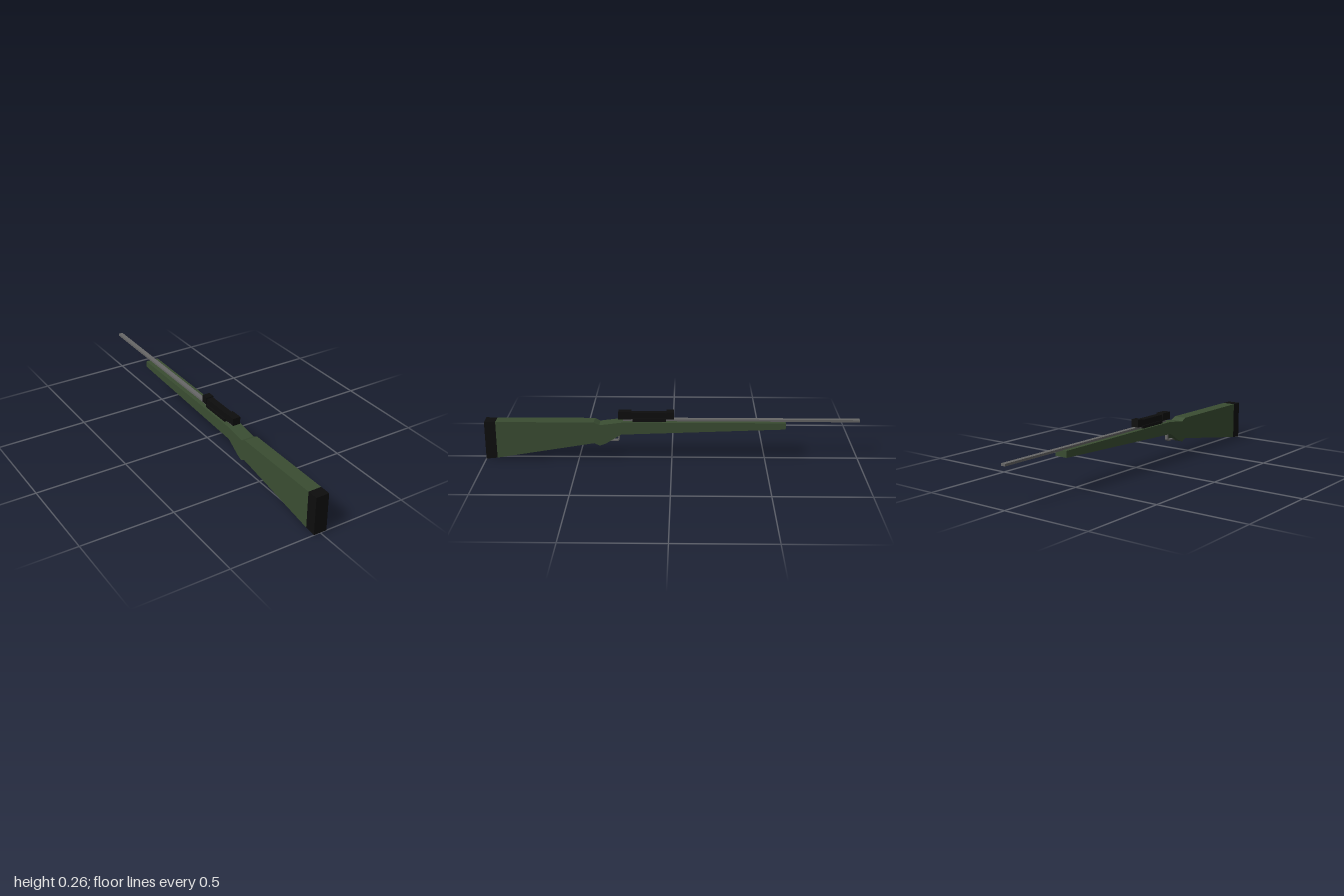
import * as THREE from 'three';

const material = (color) => new THREE.MeshStandardMaterial({ color, flatShading: true });

export function createModel() {
  const model = new THREE.Group();
  model.name = 'rifle';
  const green = material(0x3a4d32);
  const black = material(0x0d0d0d);
  const steel = material(0x666666);

  // Side profile of [z, y] points, extruded across x and centred
  function profile(name, points, width, mat) {
    const shape = new THREE.Shape(points.map(([z, y]) => new THREE.Vector2(-z, y)));
    const geometry = new THREE.ExtrudeGeometry(shape, { depth: width, bevelEnabled: false });
    geometry.translate(0, 0, -width / 2).rotateY(Math.PI / 2);
    const mesh = new THREE.Mesh(geometry, mat);
    mesh.name = name;
    model.add(mesh);
  }

  // Box given by its width and its y and z ranges
  function block(name, width, y0, y1, z0, z1, mat) {
    const mesh = new THREE.Mesh(new THREE.BoxGeometry(width, y1 - y0, z1 - z0), mat);
    mesh.position.set(0, (y0 + y1) / 2, (z0 + z1) / 2);
    mesh.name = name;
    model.add(mesh);
  }

  // Stock with butt, grip and tapering fore-end
  profile('stock', [
    [0.94, 0.006], [0.415, 0.093], [0.385, 0.079], [0.355, 0.09], [0.27, 0.143],
    [-0.605, 0.177], [-0.605, 0.212], [0.26, 0.212], [0.385, 0.196], [0.415, 0.211], [0.94, 0.211],
  ], 0.073, green);
  profile('buttPad', [[1, 0], [0.94, 0.006], [0.94, 0.211], [1, 0.211]], 0.073, black);

  // Barrel
  block('barrel', 0.025, 0.211, 0.223, -1, 0.26, steel);

  // Sight: mount, body and two end caps
  block('sightMount', 0.05, 0.21, 0.228, 0.03, 0.21, black);
  block('sightBody', 0.036, 0.225, 0.259, 0.02, 0.22, black);
  block('sightRearCap', 0.043, 0.224, 0.265, 0.215, 0.285, black);
  block('sightFrontCap', 0.043, 0.224, 0.265, -0.012, 0.028, black);

  // Trigger guard, a bent strip below the grip
  profile('triggerGuard', [
    [0.375, 0.095], [0.29, 0.095], [0.281, 0.104], [0.281, 0.143],
    [0.288, 0.143], [0.288, 0.107], [0.293, 0.102], [0.375, 0.102],
  ], 0.018, steel);

  return model;
}
